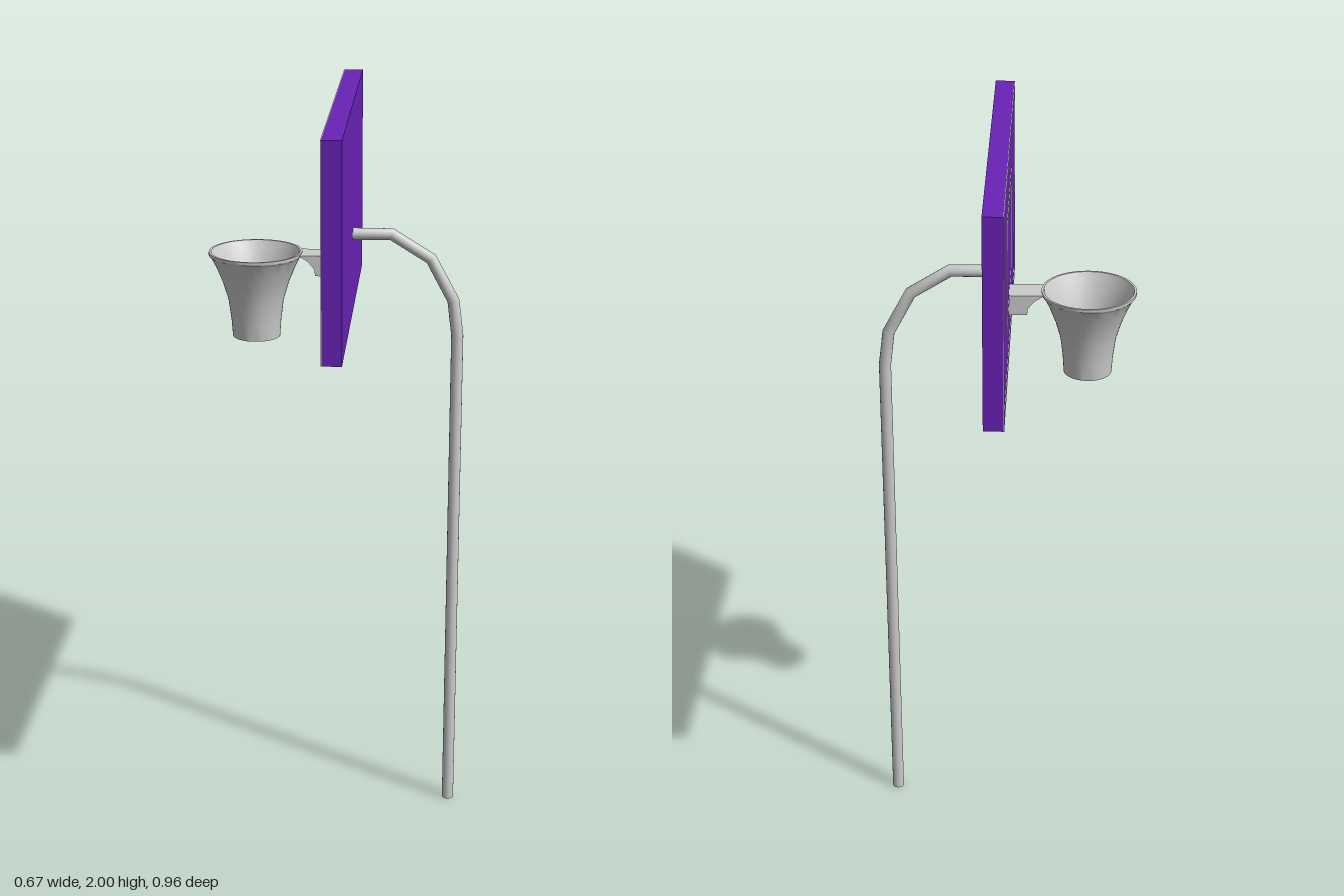
import * as THREE from 'three';
import { toCreasedNormals } from 'three/addons/utils/BufferGeometryUtils.js';

const grey = new THREE.MeshStandardMaterial({ color: 0xcccccc });
const purple = new THREE.MeshStandardMaterial({ color: 0x6a22b6 });

// Polyline whose tube rings sit on the corners, mitred between neighbours
class Polyline extends THREE.Curve {
  constructor(points) {
    super();
    this.points = points;
  }
  getPoint(t) {
    return this.points[Math.round(t * (this.points.length - 1))].clone();
  }
  getPointAt(t) {
    return this.getPoint(t);
  }
  getTangentAt(t) {
    const p = this.points, i = Math.round(t * (p.length - 1)), d = new THREE.Vector3();
    if (i > 0) d.add(p[i].clone().sub(p[i - 1]).normalize());
    if (i < p.length - 1) d.add(p[i + 1].clone().sub(p[i]).normalize());
    return d.normalize();
  }
}

function add(group, name, geometry, material, x = 0, y = 0, z = 0) {
  const mesh = new THREE.Mesh(geometry, material);
  mesh.name = name;
  mesh.position.set(x, y, z);
  group.add(mesh);
  return mesh;
}

// Thin rectangular border lying on the playing face of the board
function border(width, height, thickness) {
  const rect = (Type, w, h) => {
    const r = new Type();
    r.moveTo(-w / 2, -h / 2).lineTo(w / 2, -h / 2).lineTo(w / 2, h / 2).lineTo(-w / 2, h / 2).closePath();
    return r;
  };
  const shape = rect(THREE.Shape, width, height);
  shape.holes.push(rect(THREE.Path, width - 2 * thickness, height - 2 * thickness));
  const geometry = new THREE.ExtrudeGeometry(shape, { depth: 0.002, bevelEnabled: false });
  return geometry.rotateY(-Math.PI / 2);
}

export function createModel() {
  const model = new THREE.Group();
  model.name = 'basketballHoop';

  // Backboard with its painted edge and target square
  add(model, 'backboard', new THREE.BoxGeometry(0.05, 0.555, 0.956), purple, 0.016, 1.7225, 0);
  add(model, 'boardEdge', border(0.956, 0.555, 0.022), grey, -0.009, 1.7225, 0);
  add(model, 'targetSquare', border(0.395, 0.295, 0.022), grey, -0.009, 1.72, 0);

  // Bent pole
  const path = [[0.318, 0], [0.318, 1.385], [0.306, 1.48], [0.246, 1.592], [0.143, 1.656], [0.035, 1.656]]
    .map(([x, y]) => new THREE.Vector3(x, y, 0));
  add(model, 'pole', new THREE.TubeGeometry(new Polyline(path), path.length - 1, 0.016, 16), grey);
  add(model, 'poleFoot', new THREE.CircleGeometry(0.016, 16).rotateX(Math.PI / 2), grey, 0.318, 0, 0);

  // Rim and net as one flared, thin-walled funnel
  const profile = [
    [0.056, 1.376], [0.063, 1.376], [0.066, 1.42], [0.073, 1.475], [0.086, 1.52],
    [0.103, 1.563], [0.117, 1.591], [0.123, 1.598], [0.123, 1.606], [0.117, 1.606],
    [0.108, 1.588], [0.095, 1.561], [0.079, 1.52], [0.066, 1.475], [0.059, 1.42], [0.056, 1.376],
  ].map(([r, y]) => new THREE.Vector2(r, y));
  const net = toCreasedNormals(new THREE.LatheGeometry(profile, 40), 0.6);
  add(model, 'rimAndNet', net, grey, -0.215, 0, 0);

  // Bracket between rim and board
  const side = new THREE.Shape([
    [-0.1, 1.604], [-0.075, 1.588], [-0.058, 1.568], [-0.056, 1.55], [-0.005, 1.55], [-0.005, 1.604],
  ].map(([x, y]) => new THREE.Vector2(x, y)));
  const bracket = new THREE.ExtrudeGeometry(side, { depth: 0.074, bevelEnabled: false });
  add(model, 'rimBracket', bracket, grey, 0, 0, -0.037);

  return model;
}
